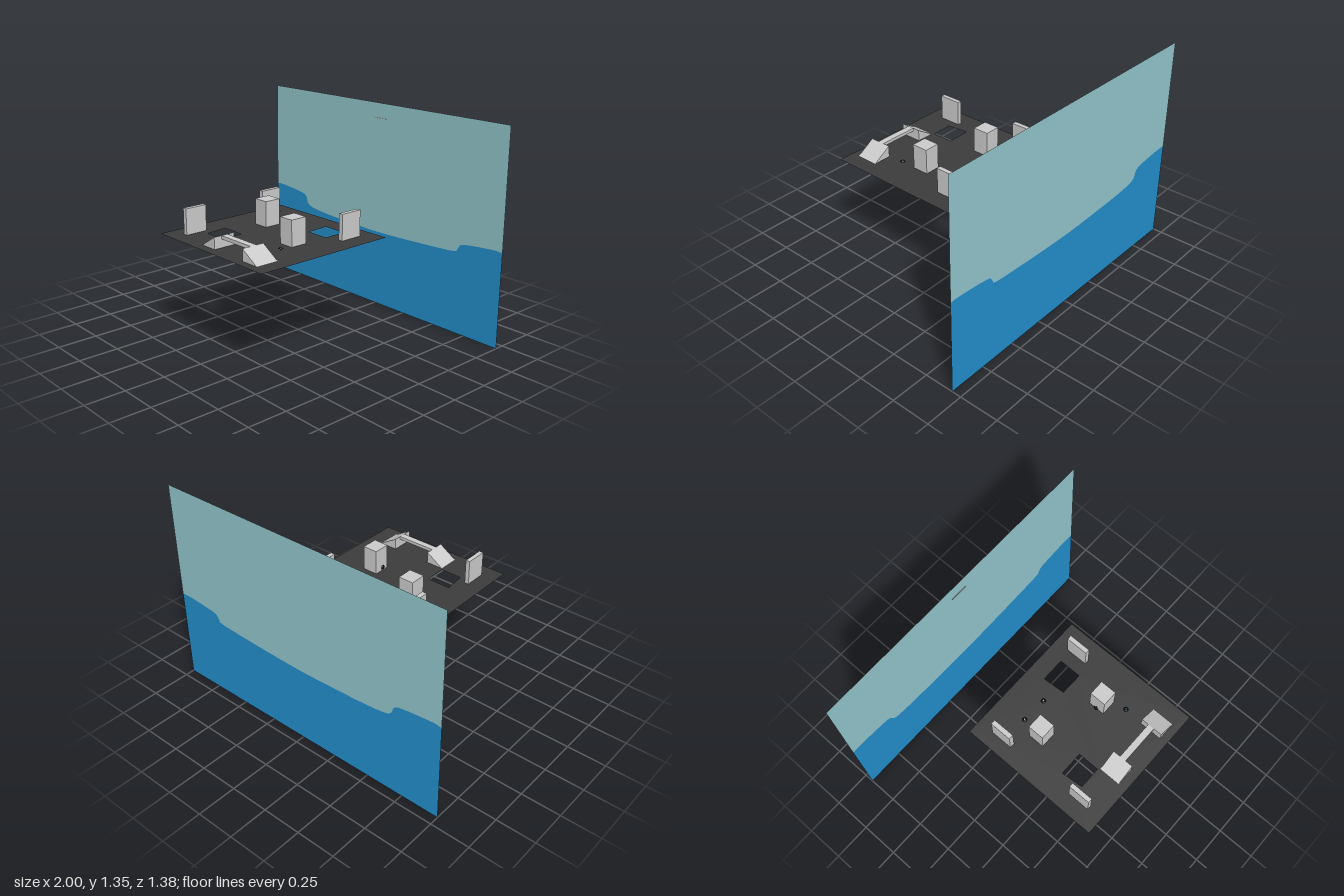
import * as THREE from 'three';

export function createModel() {
  const model = new THREE.Group();
  const mat = (name, color, double) => new THREE.MeshStandardMaterial(
    { name, color, side: double ? THREE.DoubleSide : THREE.FrontSide });
  const sky = mat('sky blue', 0x92c5cb, true);
  const water = mat('water blue', 0x238ecb, true);
  const floorDark = mat('floor charcoal', 0x3b3b3b, true);
  const grey = mat('light grey', 0xcacaca);
  const black = mat('device black', 0x151515);
  const teal = mat('device blue', 0x2484ad);
  const V2 = (p) => new THREE.Vector2(p[0], p[1]);
  const FLOOR = 0.668;

  const add = (name, geo, material, x = 0, y = 0, z = 0, parent = model) => {
    const m = new THREE.Mesh(geo, material);
    m.name = name;
    m.position.set(x, y, z);
    parent.add(m);
    return m;
  };

  // Backdrop: sky and water panels sharing one shoreline
  const shore = new THREE.SplineCurve([
    [-1, 0.632], [-0.96, 0.641], [-0.85, 0.633], [-0.73, 0.618], [-0.69, 0.598], [-0.665, 0.548],
    [-0.6, 0.528], [-0.45, 0.514], [-0.2, 0.504], [0, 0.499], [0.25, 0.505], [0.5, 0.516],
    [0.65, 0.527], [0.675, 0.548], [0.70, 0.578], [0.78, 0.591], [0.94, 0.604], [1, 0.6],
  ].map(V2)).getPoints(90);
  const backdrop = (name, y, material) => add(name, new THREE.ShapeGeometry(
    new THREE.Shape([V2([-1, y]), ...shore, V2([1, y])])), material, 0, 0, -0.69);
  backdrop('backdropWater', 0, water);
  backdrop('backdropSky', 1.35, sky);
  add('backdropSliver', new THREE.BoxGeometry(0.11, 0.004, 0.004), grey, 0.003, 1.251, -0.686);

  // Floor sheet with two openings
  const floor = new THREE.Shape([[-0.45, -0.25], [0.49, -0.25], [0.49, 0.69], [-0.45, 0.69]].map(V2));
  [
    [[-0.28, 0.34], [-0.125, 0.34], [-0.125, 0.48], [-0.265, 0.48]],
    [[0.1, -0.135], [0.255, -0.135], [0.255, 0.012], [0.11, 0.01]],
  ].forEach((h) => floor.holes.push(new THREE.Path(h.map(V2))));
  add('floor', new THREE.ShapeGeometry(floor).rotateX(Math.PI / 2), floorDark, 0, FLOOR, 0);

  // Upright panels and blocks: x range, z range (bases just under the floor sheet)
  const box = (name, x0, x1, y0, y1, z0, z1) => add(name, new THREE.BoxGeometry(x1 - x0, y1 - y0, z1 - z0),
    grey, (x0 + x1) / 2, (y0 + y1) / 2, (z0 + z1) / 2);
  [
    ['backRightPanel', -0.363, -0.332, -0.14, 0.003],
    ['backLeftPanel', 0.34, 0.369, -0.157, -0.012],
    ['frontRightPanel', -0.348, -0.32, 0.45, 0.593],
    ['rightBlock', -0.232, -0.13, 0.038, 0.143],
    ['leftBlock', 0.163, 0.263, 0.175, 0.282],
  ].forEach(([n, x0, x1, z0, z1]) => box(n, x0, x1, FLOOR - 0.002, 0.829, z0, z1));

  // Two ramps joined by a narrow bridge
  const ramp = (name, low, high, z0, z1) => {
    const s = new THREE.Shape([[low, FLOOR - 0.002], [high, FLOOR - 0.002], [high, 0.741]].map(V2));
    add(name, new THREE.ExtrudeGeometry(s, { depth: z1 - z0, bevelEnabled: false }), grey, 0, 0, z0);
  };
  ramp('rightRamp', -0.115, 0.004, 0.492, 0.632);
  ramp('leftRamp', 0.388, 0.266, 0.492, 0.638);
  box('bridge', 0.004, 0.266, 0.72, 0.741, 0.54, 0.582);

  // Small devices: stem, domed cap and coloured centre dot
  const device = (x, y, z, dot, tilt = 0) => {
    const g = new THREE.Group();
    g.name = 'device';
    g.position.set(x, y, z);
    g.rotation.z = tilt;
    model.add(g);
    add('deviceStem', new THREE.CylinderGeometry(0.004, 0.005, 0.012, 10), black, 0, 0, 0, g);
    add('deviceCap', new THREE.CylinderGeometry(0.007, 0.015, 0.007, 14), black, 0, 0.005, 0, g);
    add('deviceDot', new THREE.CylinderGeometry(0.005, 0.005, 0.002, 10), dot, 0, 0.0095, 0, g);
  };
  device(-0.18, 0.682, -0.046, grey);
  device(-0.016, 0.682, -0.04, grey);
  device(0.27, 0.682, 0.37, teal);
  device(0.157, 0.694, 0.23, black, Math.PI / 2);

  return model;
}
